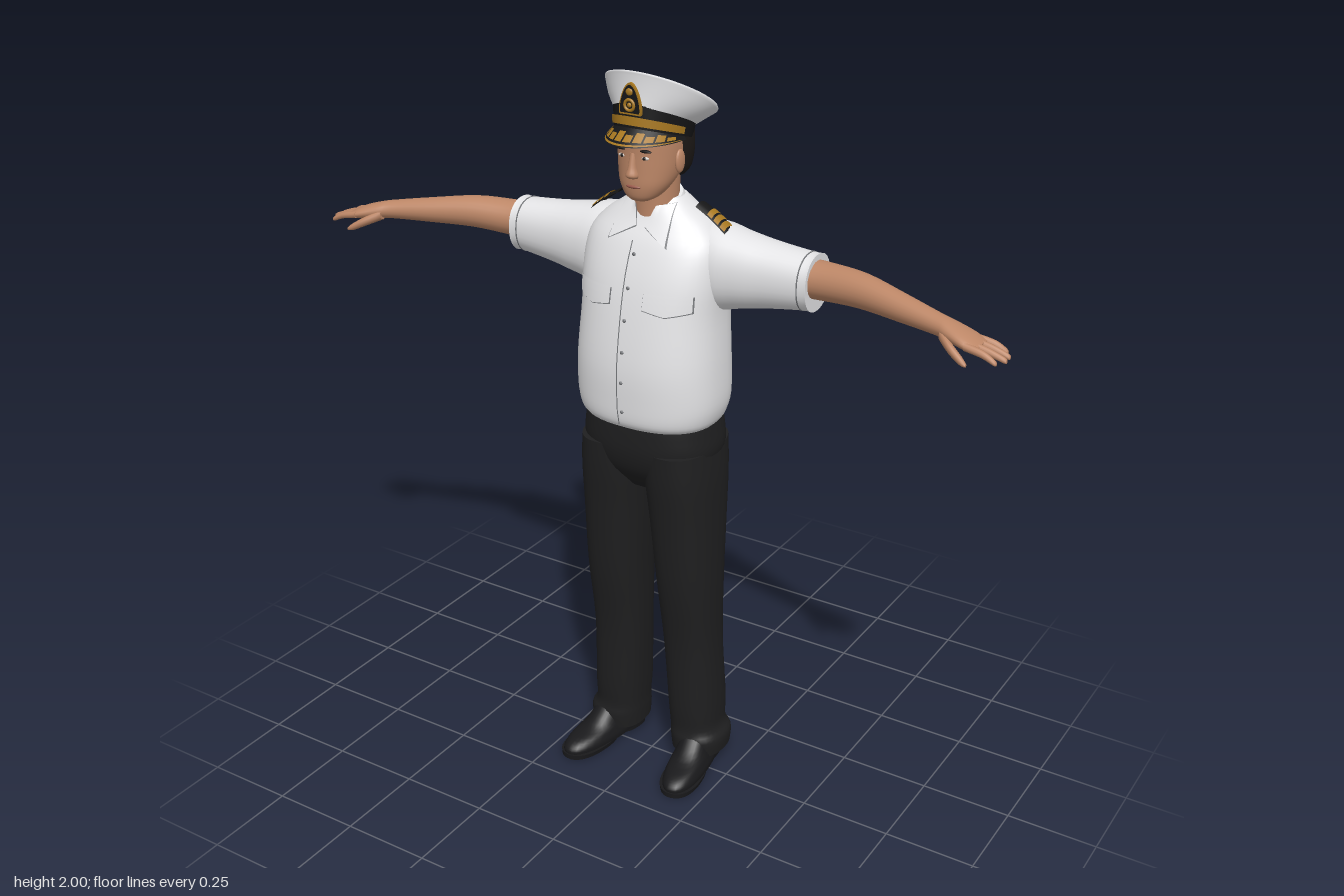
import * as THREE from 'three';

const mat = (name, color, side = THREE.FrontSide) =>
  Object.assign(new THREE.MeshStandardMaterial({ color, side }), { name });
const both = THREE.DoubleSide;
const M = {
  shirt: mat('shirt white', 0xe4e4e6, both), trousers: mat('trouser black', 0x1f1f20),
  shoe: mat('shoe black', 0x19191b), skin: mat('skin', 0xbd8767),
  hair: mat('hair', 0x1d1917), cap: mat('cap black', 0x161617, both),
  gold: mat('gold', 0xa87820, both), stitch: mat('stitch grey', 0x77797c, both),
  lip: mat('lip', 0x98594b), eye: mat('eye white', 0xd8d0c8),
};

// Catmull-Rom interpolation of cross-section rows
function smooth(rows, k) {
  const out = [];
  for (let i = 0; i < rows.length - 1; i++) {
    const p = [rows[Math.max(i - 1, 0)], rows[i], rows[i + 1], rows[Math.min(i + 2, rows.length - 1)]];
    for (let j = 0; j < k; j++) {
      const t = j / k;
      out.push(p[1].map((b, c) => {
        const a = p[0][c], d = p[2][c], e = p[3][c];
        return b + 0.5 * t * (d - a + t * (2 * a - 5 * b + 4 * d - e + t * (3 * (b - d) + e - a)));
      }));
    }
  }
  out.push(rows[rows.length - 1]);
  return out;
}

function indexed(pos, idx) {
  const g = new THREE.BufferGeometry();
  g.setAttribute('position', new THREE.Float32BufferAttribute(pos, 3));
  g.setIndex(idx);
  g.computeVertexNormals();
  return g;
}

// Closed skin over superellipse rings. Axis y: [y, cx, cz, rx, rz, slope]; axis x: [x, cy, cz, ry, rz]
function loft(rows, { axis = 'y', n = 2, k = 4, seg = 32 } = {}) {
  const rings = smooth(rows, k), pos = [], idx = [];
  const pw = v => Math.sign(v) * Math.abs(v) ** (2 / n);
  const ring = ([h, c1, c2, a, b, slope = 0]) => {
    for (let j = 0; j < seg; j++) {
      const t = j / seg * Math.PI * 2, c = a * pw(Math.cos(t)), s = b * pw(Math.sin(t));
      if (axis === 'y') pos.push(c1 + c, h + slope * s, c2 + s);
      else pos.push(h, c1 + c, c2 - s);
    }
  };
  rings.forEach(ring);
  for (let i = 0; i < rings.length - 1; i++) for (let j = 0; j < seg; j++) {
    const a = i * seg + j, b = i * seg + (j + 1) % seg;
    idx.push(a, a + seg, b, b, a + seg, b + seg);
  }
  // flat end caps
  [rings[0], rings[rings.length - 1]].forEach((r, e) => {
    const s = pos.length / 3;
    ring(r);
    pos.push(...(axis === 'y' ? [r[1], r[0], r[2]] : [r[0], r[1], r[2]]));
    for (let j = 0; j < seg; j++) {
      const a = s + j, b = s + (j + 1) % seg;
      idx.push(s + seg, ...(e ? [b, a] : [a, b]));
    }
  });
  return indexed(pos, idx);
}

// Thin surface from f(u, v), u to the right and v upwards
function patch(f, nu = 8, nv = 4) {
  const pos = [], idx = [];
  for (let j = 0; j <= nv; j++) for (let i = 0; i <= nu; i++) pos.push(...f(i / nu, j / nv));
  for (let j = 0; j < nv; j++) for (let i = 0; i < nu; i++) {
    const a = j * (nu + 1) + i, c = a + nu + 1;
    idx.push(a, a + 1, c, a + 1, c + 1, c);
  }
  return indexed(pos, idx);
}

const ball = (x, y, z, a, b, c) => new THREE.SphereGeometry(1, 16, 12).scale(a, b, c).translate(x, y, z);
const lerp = THREE.MathUtils.lerp;

const TORSO_N = 2.4;
const TORSO = [
  [1.08, 0, -.01, .183, .14], [1.1, 0, -.01, .195, .152], [1.15, 0, -.013, .205, .16],
  [1.25, 0, -.013, .203, .161], [1.38, 0, -.02, .196, .15], [1.48, 0, -.028, .2, .135],
  [1.56, 0, -.035, .19, .11], [1.61, 0, -.042, .15, .085], [1.645, 0, -.043, .1, .066],
  [1.67, 0, -.043, .07, .05]];
const fineTorso = smooth(TORSO, 6);
// Front surface of the shirt at x, y
function chestZ(x, y) {
  let i = fineTorso.findIndex(r => r[0] > y);
  if (i < 1) i = i < 0 ? fineTorso.length - 1 : 1;
  const p = fineTorso[i - 1], q = fineTorso[i], t = (y - p[0]) / (q[0] - p[0]);
  const [, , cz, a, b] = p.map((v, c) => lerp(v, q[c], t));
  return cz + b * Math.max(0, 1 - Math.abs(x / a) ** TORSO_N) ** (1 / TORSO_N);
}
const chestPatch = (x0, x1, y0, y1, off) => patch((u, v) => {
  const x = lerp(x0, x1, u), y = lerp(y0(u), y1, v);
  return [x, y, chestZ(x, y) + off];
}, 10, 12);

export function createModel() {
  const root = new THREE.Group();
  root.name = 'officer';
  const add = (name, geo, m) => {
    const mesh = new THREE.Mesh(geo, m);
    mesh.name = name;
    root.add(mesh);
  };
  const pair = (name, geo, m) => {
    add('left ' + name, geo, m);
    const g = geo.clone().scale(-1, 1, 1), ix = g.index.array;
    for (let i = 0; i < ix.length; i += 3) [ix[i], ix[i + 1]] = [ix[i + 1], ix[i]];
    add('right ' + name, g, m);
  };

  // Shirt
  add('shirt body', loft(TORSO, { n: TORSO_N, seg: 48 }), M.shirt);
  pair('sleeve', loft([[.06, 1.53, -.06, .08, .05], [.16, 1.5, -.065, .112, .092], [.24, 1.5, -.06, .099, .085],
    [.32, 1.503, -.058, .085, .075], [.42, 1.507, -.055, .073, .067], [.443, 1.507, -.055, .074, .067]],
    { axis: 'x', n: 2.2 }), M.shirt);
  pair('sleeve hem', loft([[.418, 1.507, -.055, .0745, .0685], [.421, 1.507, -.055, .0745, .0685]],
    { axis: 'x', n: 2.2, k: 1 }), M.stitch);
  add('placket seam', chestPatch(-.014, -.011, () => 1.09, 1.57, .002), M.stitch);
  for (let i = 0; i < 6; i++) {
    const y = 1.54 - i * .082;
    add('button', ball(0, y, chestZ(0, y) + .001, .005, .005, .003), M.stitch);
  }
  const flap = u => 1.413 - .012 * (1 - Math.abs(2 * u - 1));
  pair('pocket flap edge', chestPatch(.047, .168, u => flap(u) - .003, 1.452, .003), M.stitch);
  pair('pocket flap', chestPatch(.049, .166, flap, 1.455, .006), M.shirt);

  // Collar band and pointed leaves
  add('collar band', loft([[1.61, 0, -.035, .085, .07, -.25], [1.65, 0, -.03, .073, .062, -.45],
    [1.668, 0, -.027, .066, .056, -.45]], { k: 3 }), M.shirt);
  const leaf = (d, off) => patch((u, v) => {
    const x = lerp(lerp(.012, .083 + d, u), lerp(.03, .071, u), v);
    const y = lerp(lerp(1.606, 1.567, u) - d, lerp(1.655, 1.662, u), v);
    const z = lerp(lerp(.048, .062, u), lerp(.026, -.022, u), v);
    return [x, y, Math.max(z, chestZ(x, y) + .006) + off];
  }, 6, 6);
  pair('collar leaf', leaf(0, .004), M.shirt);
  pair('collar leaf edge', leaf(.004, 0), M.stitch);

  // Shoulder boards with gold stripes
  const board = (x0, x1, z0, z1, h) => patch((u, v) => {
    const x = lerp(x0, x1, u);
    return [x, 1.672 - (x - .1) * .42 - 2.2 * (x - .1) ** 2 + h - .008 * (2 * v - 1) ** 2, lerp(z1, z0, v)];
  }, 6, 6);
  pair('shoulder board', board(.115, .215, -.07, -.02, -.004), M.cap);
  for (let i = 0; i < 3; i++)
    pair('shoulder stripe', board(.148 + i * .018, .161 + i * .018, -.069, -.021, 0), M.gold);

  // Bare arms, hands, fingers
  pair('arm', loft([[.4, 1.515, -.055, .05, .054], [.47, 1.518, -.048, .048, .05], [.58, 1.523, -.024, .043, .045],
    [.7, 1.517, .014, .034, .037], [.8, 1.51, .045, .026, .031], [.84, 1.505, .056, .023, .037],
    [.89, 1.495, .067, .018, .045], [.925, 1.486, .072, .01, .04]], { axis: 'x', seg: 24 }), M.skin);
  [[.038, .03, .972], [.06, .058, .988], [.083, .084, .99], [.104, .11, .976]].forEach(([z0, z1, x1]) =>
    pair('finger', loft([[.895, 1.493, z0, .01, .011], [.94, 1.485, lerp(z0, z1, .55), .009, .0095],
      [x1 - .006, 1.472, z1, .007, .007], [x1, 1.469, z1, .003, .003]], { axis: 'x', seg: 10, k: 3 }), M.skin));
  pair('thumb', loft([[.825, 1.498, .075, .014, .014], [.86, 1.482, .104, .013, .013],
    [.895, 1.464, .121, .01, .01], [.91, 1.457, .126, .004, .004]], { axis: 'x', seg: 10, k: 3 }), M.skin);

  // Trousers
  add('trouser seat', loft([[.88, 0, -.02, .1, .08], [.94, 0, -.018, .165, .125], [1, 0, -.017, .191, .144],
    [1.06, 0, -.016, .187, .146], [1.1, 0, -.014, .18, .142]], { n: 2.4, seg: 48 }), M.trousers);
  pair('trouser leg', loft([[.045, .135, -.052, .076, .086], [.09, .135, -.05, .079, .09], [.125, .126, -.048, .071, .083],
    [.2, .123, -.047, .073, .088], [.4, .115, -.035, .076, .085], [.6, .112, -.02, .083, .1],
    [.8, .105, -.018, .091, .118], [.92, .1, -.017, .095, .132], [1.01, .097, -.017, .091, .139]],
    { n: 2.4 }), M.trousers);

  // Shoes, toes turned out
  const turn = g => g.rotateY(.16).translate(.15, 0, .03);
  pair('shoe', turn(loft([[.015, 0, 0, .054, .151], [.03, 0, 0, .055, .15], [.048, 0, -.01, .05, .134],
    [.068, 0, -.045, .046, .096], [.12, 0, -.075, .042, .064]], { n: 2.3 })), M.shoe);
  pair('sole', turn(loft([[.004, 0, .055, .054, .1], [.018, 0, .055, .057, .1]], { n: 2.3, k: 1 })), M.shoe);
  pair('heel', turn(loft([[0, 0, -.1, .047, .055], [.02, 0, -.1, .05, .057]], { n: 2.8, k: 1 })), M.shoe);

  // Neck and head
  add('neck', loft([[1.59, 0, -.02, .055, .055], [1.66, 0, -.022, .058, .058], [1.76, 0, -.02, .06, .065]]), M.skin);
  add('head', loft([[1.675, 0, .052, .026, .022], [1.687, 0, .038, .046, .045], [1.715, 0, .022, .066, .067],
    [1.75, 0, .004, .077, .086], [1.79, 0, -.004, .081, .095], [1.83, 0, -.006, .081, .099],
    [1.87, 0, -.006, .078, .095]], { n: 2.15 }), M.skin);
  add('hair', loft([[1.72, 0, -.054, .058, .03], [1.74, 0, -.052, .074, .052], [1.78, 0, -.046, .084, .066],
    [1.82, 0, -.04, .086, .073], [1.85, 0, -.035, .084, .073]], { n: 2.3 }), M.hair);
  pair('ear', ball(.084, 1.772, -.004, .008, .03, .018).rotateY(-.1), M.skin);
  add('nose', loft([[1.737, 0, .088, .014, .012], [1.745, 0, .09, .017, .018], [1.765, 0, .089, .011, .013],
    [1.8, 0, .085, .008, .009]], { seg: 16 }), M.skin);
  pair('eye', ball(.032, 1.789, .083, .012, .0045, .005), M.eye);
  pair('iris', ball(.032, 1.789, .0865, .0045, .0045, .003), M.hair);
  pair('eyebrow', ball(.034, 1.807, .085, .018, .004, .006), M.hair);
  add('mouth', ball(0, 1.714, .086, .021, .005, .006), M.lip);

  // Cap: band, flared crown, peak
  add('cap band', loft([[1.832, 0, -.007, .093, .106, .3], [1.875, 0, -.012, .1, .108, .43]], { k: 1, seg: 48 }), M.cap);
  add('cap crown', loft([[1.872, 0, -.012, .1, .108, .43], [1.892, 0, -.026, .122, .119, .48],
    [1.914, 0, -.044, .138, .137, .55], [1.922, 0, -.045, .139, .139, .55], [1.927, 0, -.045, .133, .133, .55],
    [1.931, 0, -.045, .1, .1, .55], [1.933, 0, -.045, .05, .05, .55]], { k: 2, seg: 48 }), M.shirt);
  const peak = (u0, u1, s0, s1, lift) => patch((u, v) => {
    const t = lerp(u0, u1, u) * Math.PI, s = lerp(s1, s0, v), h = Math.sin(t);
    return [-lerp(.092, .101, s) * Math.cos(t), 1.832 + .032 * h - s * (.004 + .032 * h) + lift,
      -.007 + lerp(.105, .155, s) * h + lift * .5];
  }, 24, 4);
  add('cap peak', peak(.02, .98, 0, 1, 0), M.cap);
  add('peak trim', peak(.06, .94, .88, .98, .002), M.gold);
  for (let i = 0; i < 10; i++)
    add('peak leaf', peak(.1 + i * .081, .166 + i * .081, .25 + .15 * (i % 2), .78, .003), M.gold);
  add('chin strap', patch((u, v) => {
    const t = lerp(.04, .96, u) * Math.PI, w = lerp(.12, .5, v);
    return [-lerp(.097, .1025, w) * Math.cos(t), lerp(1.832, 1.875, w) + lerp(.032, .046, w) * Math.sin(t),
      lerp(-.007, -.012, w) + lerp(.11, .112, w) * Math.sin(t)];
  }, 32, 2), M.gold);

  // Cap badge: gold-edged plate with a wreath
  const plate = (s, z, m) => {
    const sh = new THREE.Shape();
    sh.moveTo(0, .042 * s);
    sh.bezierCurveTo(.02 * s, .04 * s, .036 * s, -.02 * s, .03 * s, -.036 * s);
    sh.lineTo(-.03 * s, -.036 * s);
    sh.bezierCurveTo(-.036 * s, -.02 * s, -.02 * s, .04 * s, 0, .042 * s);
    add('badge plate', new THREE.ExtrudeGeometry(sh, { depth: .008, bevelEnabled: false }).translate(0, 1.932, z), m);
  };
  plate(1, .092, M.gold);
  plate(.87, .094, M.cap);
  add('badge wreath', new THREE.TorusGeometry(.013, .004, 8, 20).translate(0, 1.92, .102), M.gold);
  add('badge centre', ball(0, 1.92, .102, .006, .006, .004), M.gold);
  add('badge top', ball(0, 1.952, .102, .01, .009, .004), M.gold);
  pair('crown vent', ball(.02, 1.908, -.09, .006, .003, .004), M.cap);

  return root;
}
